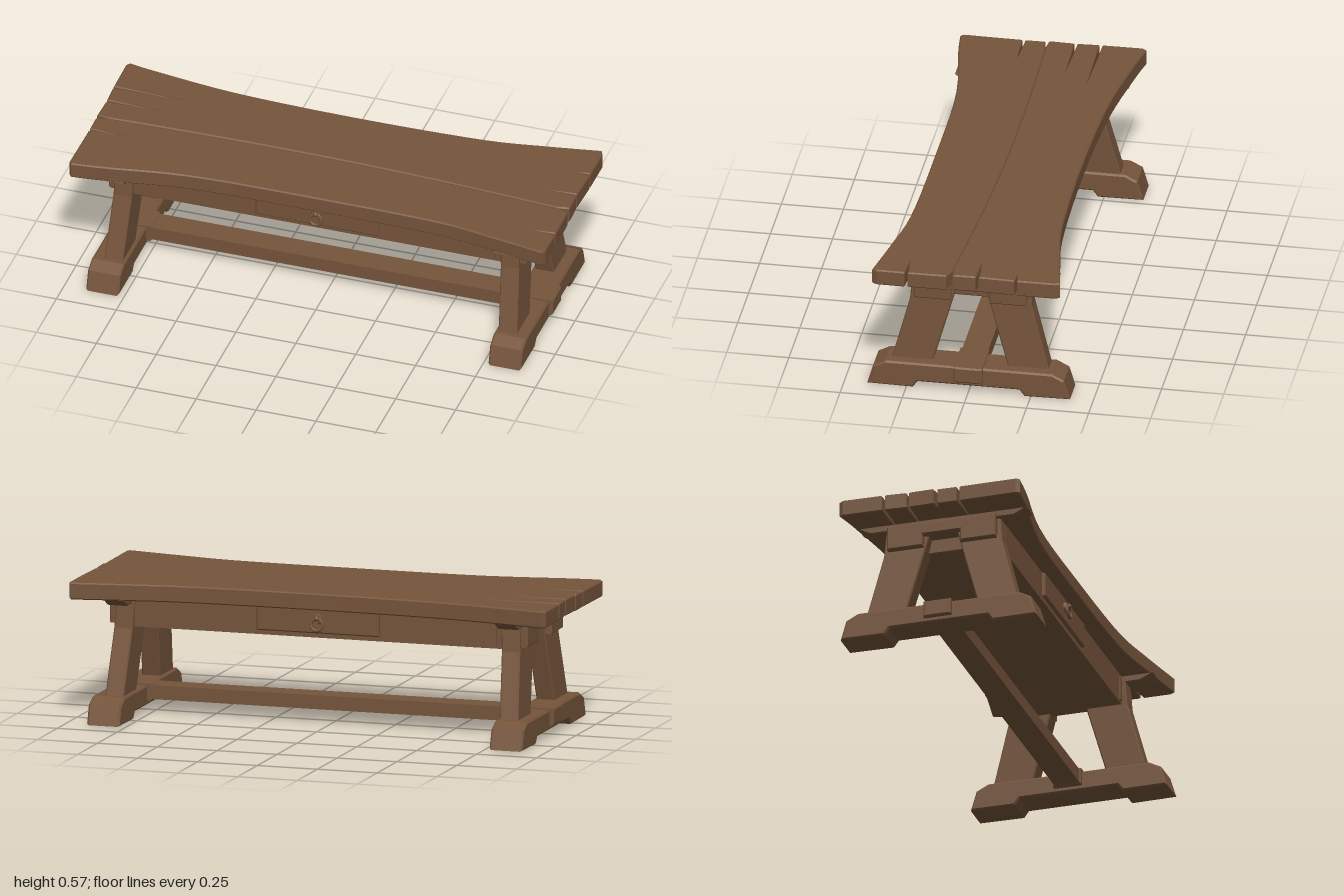
import * as THREE from 'three';

const wood = new THREE.MeshStandardMaterial({ color: 0x75543b });
wood.name = 'brown wood';

function add(parent, name, geometry) {
  const mesh = new THREE.Mesh(geometry, wood);
  mesh.name = name;
  parent.add(mesh);
  return mesh;
}

// Bevelled prism of a 2D outline; the outline keeps its exact size
function prism(points, depth, bevel) {
  const shape = new THREE.Shape(points.map(([a, b]) => new THREE.Vector2(a, b)));
  const g = new THREE.ExtrudeGeometry(shape, {
    depth: depth - 2 * bevel, bevelEnabled: true, bevelThickness: bevel,
    bevelSize: bevel, bevelOffset: -bevel, bevelSegments: 1, steps: 1,
  });
  return g.translate(0, 0, bevel);
}

// Prism of a [z, y] side profile running along x from x0 to x1
function sideProfile(points, x0, x1, bevel = 0.005) {
  return prism(points.map(([z, y]) => [-z, y]), x1 - x0, bevel)
    .rotateY(Math.PI / 2).translate(x0, 0, 0);
}

// Prism of an [x, z] plan running up from y0 to y1
function slab(points, y0, y1, bevel) {
  return prism(points.map(([x, z]) => [x, -z]), y1 - y0, bevel)
    .rotateX(-Math.PI / 2).translate(0, y0, 0);
}

const rect = (a, b, c, d) => [[a, b], [c, b], [c, d], [a, d]];

// Mirrors half a [z, y] profile across z = 0
const symmetric = (half) => [...half, ...half.map(([z, y]) => [-z, y]).reverse()];

function spline(points) {
  return new THREE.SplineCurve(points.map(([x, z]) => new THREE.Vector2(x, z)))
    .getPoints(28).map((p) => [p.x, p.y]);
}

// Narrow split cut into a plank end; dir is the direction of travel along z
function split(x, z, length, dir, w = 0.006) {
  return [[x, z - dir * w], [x - Math.sign(x) * length, z], [x, z + dir * w]];
}

function buildTop() {
  const top = new THREE.Group();
  top.name = 'tableTop';
  const back = spline([[-0.985, -0.385], [-0.85, -0.36], [-0.5, -0.315], [0, -0.299],
    [0.5, -0.309], [0.75, -0.342], [0.985, -0.383]]);
  const front = spline([[-0.985, 0.365], [-0.85, 0.35], [-0.5, 0.298], [0, 0.291],
    [0.5, 0.298], [0.75, 0.332], [0.985, 0.374]]);
  const seam = spline([[-0.99, 0.015], [-0.5, 0.004], [0, 0.006], [0.5, 0.026], [0.99, 0.06]]);

  add(top, 'backPlank', slab([
    ...back, [0.995, -0.36],
    ...split(0.995, -0.205, 0.05, 1), ...split(0.99, -0.05, 0.12, 1),
    [0.993, 0.048], ...[...seam].reverse().slice(1, -1), [-0.993, 0.008],
    ...split(-0.99, -0.1, 0.24, -1), ...split(-0.995, -0.2, 0.34, -1), [-0.997, -0.37],
  ], 0.499, 0.567, 0.005));

  add(top, 'frontPlank', slab([
    [-0.993, 0.024], ...seam.slice(1, -1), [0.993, 0.074],
    ...split(0.995, 0.235, 0.1, 1), [0.995, 0.355],
    ...[...front].reverse(), [-0.995, 0.35],
    ...split(-0.992, 0.11, 0.16, -1),
  ], 0.497, 0.563, 0.005));
  return top;
}

// One trestle end: s is +1 for the left side, -1 for the right side
function buildTrestle(s) {
  const trestle = new THREE.Group();
  trestle.name = s > 0 ? 'leftTrestle' : 'rightTrestle';
  const span = (name, pts, a, b, bevel) =>
    add(trestle, name, sideProfile(pts, Math.min(s * a, s * b), Math.max(s * a, s * b), bevel));

  span('foot', symmetric([[0.205, 0.027], [0.225, 0], [0.408, 0.002],
    [0.384, 0.083], [0.335, 0.108]]), 0.772, 0.908, 0.007);
  span('cleat', symmetric([[0.295, 0.47], [0.312, 0.476], [0.35, 0.5]]), 0.772, 0.858);
  span('throughBeam', symmetric([[0.078, 0.434], [0.078, 0.386], [0.226, 0.386],
    [0.226, 0.485]]), 0.74, 0.872);

  // Splayed legs, leaning slightly inward toward the top
  for (const f of [1, -1]) {
    const leg = span(f > 0 ? 'frontLeg' : 'backLeg', [[f * 0.152, 0.1], [f * 0.317, 0.1],
      [f * 0.246, 0.37], [f * 0.237, 0.49], [f * 0.045, 0.49], [f * 0.075, 0.375]], 0.785, 0.862);
    const p = leg.geometry.attributes.position;
    for (let i = 0; i < p.count; i++) p.setX(i, p.getX(i) - s * 0.055 * (p.getY(i) - 0.1));
    leg.geometry.computeVertexNormals();
  }
  return trestle;
}

// Drawer front with a ring pull; f is +1 for the front, -1 for the back
function buildDrawer(f) {
  const drawer = new THREE.Group();
  drawer.name = f > 0 ? 'frontDrawer' : 'backDrawer';
  add(drawer, 'drawerPanel', prism(rect(-0.257, 0.394, 0.255, 0.495), 0.03, 0.005))
    .position.z = 0.206;
  const plate = add(drawer, 'pullPlate', new THREE.CylinderGeometry(0.018, 0.022, 0.012, 12));
  plate.rotation.x = Math.PI / 2;
  plate.position.set(0, 0.453, 0.241);
  add(drawer, 'pullKnob', new THREE.SphereGeometry(0.011, 10, 8)).position.set(0, 0.457, 0.252);
  const ring = add(drawer, 'pullRing', new THREE.TorusGeometry(0.024, 0.0065, 8, 20));
  ring.position.set(0, 0.432, 0.252);
  ring.rotation.x = -0.12;
  if (f < 0) drawer.rotation.y = Math.PI;
  return drawer;
}

export function createModel() {
  const model = new THREE.Group();
  model.name = 'trestleTable';
  model.add(buildTop());
  for (const s of [1, -1]) {
    model.add(buildTrestle(s));
    model.add(buildDrawer(s));
  }
  // Closed apron box below the top
  add(model, 'apron', sideProfile(rect(-0.222, 0.375, 0.222, 0.5), -0.8, 0.8));
  // Long stretcher with tenon ends passing through the feet
  add(model, 'stretcher', sideProfile(rect(-0.052, 0.052, 0.052, 0.108), -0.8, 0.8, 0.006));
  for (const s of [1, -1]) {
    add(model, 'stretcherTenon', sideProfile(rect(-0.058, 0.046, 0.058, 0.114),
      s > 0 ? 0.75 : -0.925, s > 0 ? 0.925 : -0.75, 0.006));
  }
  return model;
}
